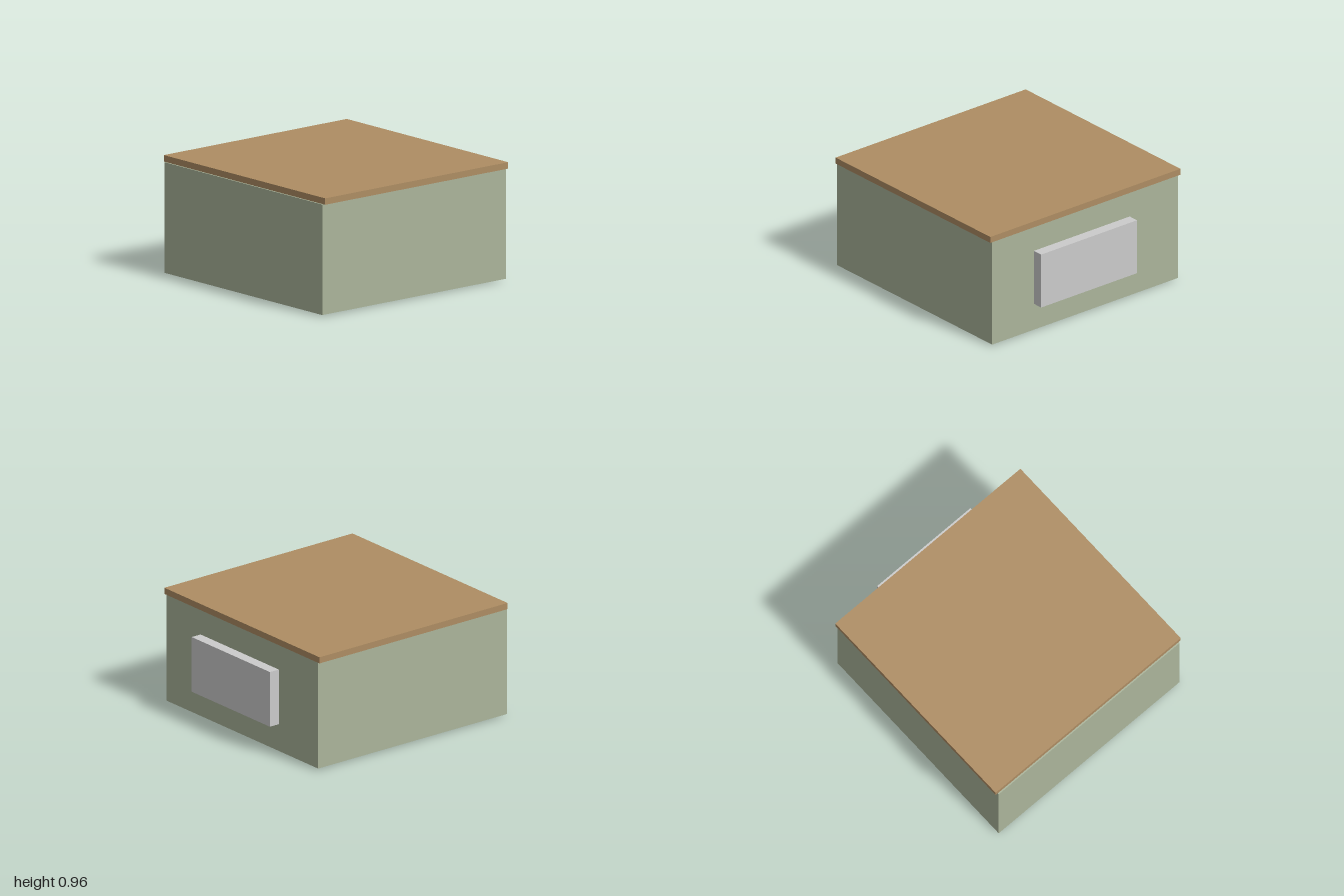
import * as THREE from 'three';

const paint = (color) => new THREE.MeshStandardMaterial({ color });

// Box given by its min and max on each axis
function slab(name, [x0, x1], [y0, y1], [z0, z1], material) {
  const mesh = new THREE.Mesh(new THREE.BoxGeometry(x1 - x0, y1 - y0, z1 - z0), material);
  mesh.position.set((x0 + x1) / 2, (y0 + y1) / 2, (z0 + z1) / 2);
  mesh.name = name;
  return mesh;
}

// Rectangular ring of walls, open at top and bottom
function wallRing(name, [x0, x1], [y0, y1], [z0, z1], thickness, material) {
  const w = x1 - x0, d = z1 - z0;
  const rect = (P, a, b) => new P([
    new THREE.Vector2(-a, -b), new THREE.Vector2(a, -b),
    new THREE.Vector2(a, b), new THREE.Vector2(-a, b),
  ]);
  const shape = rect(THREE.Shape, w / 2, d / 2);
  shape.holes.push(rect(THREE.Path, w / 2 - thickness, d / 2 - thickness));
  const geometry = new THREE.ExtrudeGeometry(shape, { depth: y1 - y0, bevelEnabled: false });
  geometry.rotateX(-Math.PI / 2);
  const mesh = new THREE.Mesh(geometry, material);
  mesh.position.set((x0 + x1) / 2, y0, (z0 + z1) / 2);
  mesh.name = name;
  return mesh;
}

export function createModel() {
  const group = new THREE.Group();
  group.name = 'flatRoofedBuilding';
  const grey = paint(0xcccccc);

  group.add(
    // Hollow outer walls
    wallRing('walls', [-0.956, 0.954], [0.014, 0.91], [-0.91, 1.0], 0.042, paint(0xabb59b)),
    // Overhanging flat roof
    slab('roof', [-0.978, 0.976], [0.91, 0.962], [-0.914, 0.988], paint(0xae8d63)),
    // Dark floor bed inside the walls, with the base sheet below it
    slab('floorBed', [-0.914, 0.912], [0.016, 0.03], [-0.868, 0.958], paint(0x5a3626)),
    slab('baseSheet', [-0.89, 0.882], [0, 0.016], [-0.83, 0.926], paint(0x6c8c74)),
    // Panel standing off the back wall
    slab('backPanel', [-0.46, 0.525], [0.24, 0.702], [-1.0, -0.91], grey),
  );
  return group;
}
